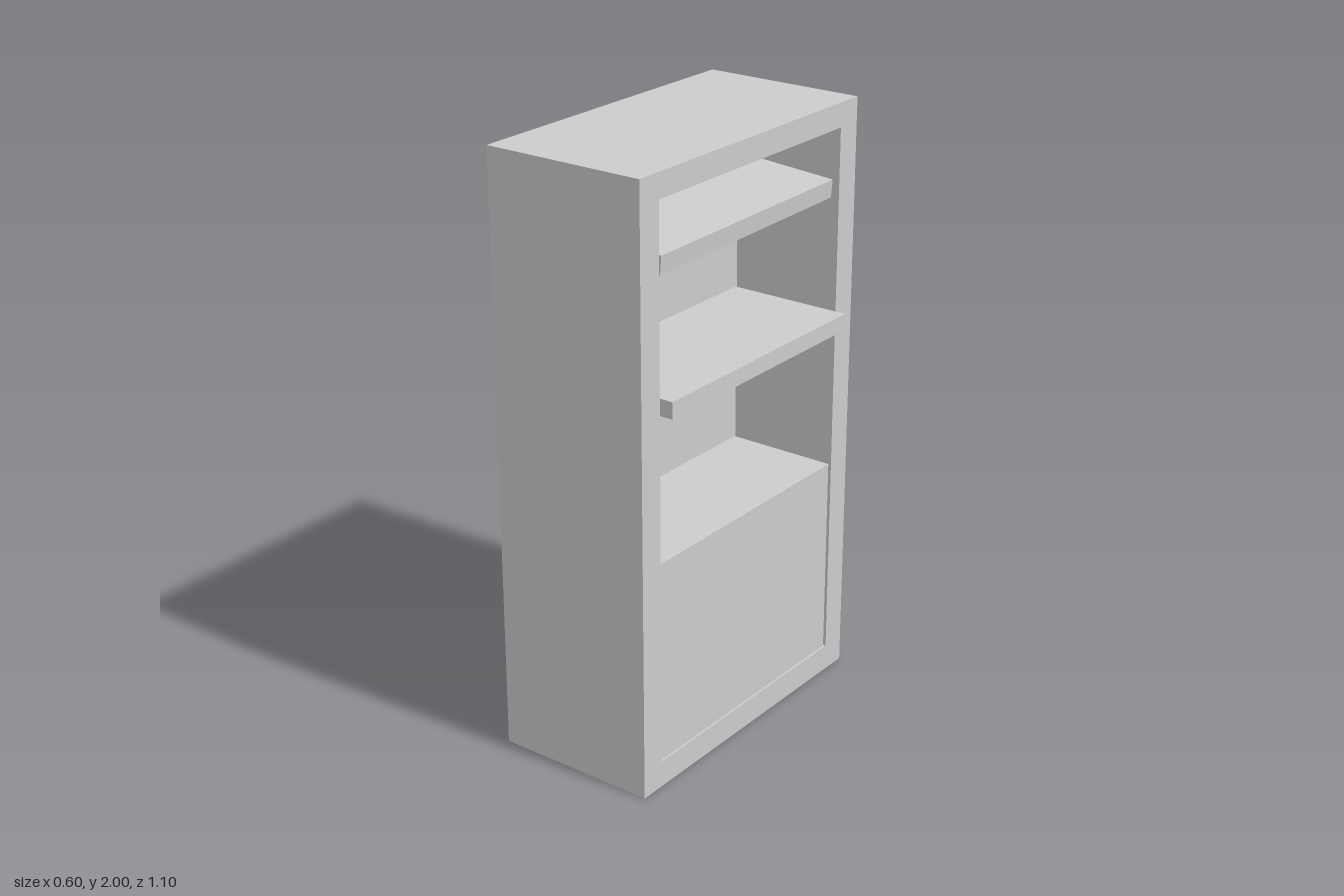
import * as THREE from 'three';

export function createModel() {
  const group = new THREE.Group();
  group.name = 'bookcase';
  const material = new THREE.MeshStandardMaterial({ color: 0xcccccc, flatShading: true });

  function add(name, geometry) {
    const mesh = new THREE.Mesh(geometry, material);
    mesh.name = name;
    group.add(mesh);
    return mesh;
  }

  // Box given by its limits on each axis
  function addBox(name, [x0, x1], [y0, y1], [z0, z1]) {
    const mesh = add(name, new THREE.BoxGeometry(x1 - x0, y1 - y0, z1 - z0));
    mesh.position.set((x0 + x1) / 2, (y0 + y1) / 2, (z0 + z1) / 2);
    return mesh;
  }

  function rectangle(path, x0, x1, y0, y1) {
    return path.moveTo(x0, y0).lineTo(x1, y0).lineTo(x1, y1).lineTo(x0, y1).closePath();
  }

  const innerBack = -0.13;

  // Carcass: a rectangular frame, open towards +x, closed by a thick back
  const outline = rectangle(new THREE.Shape(), -0.55, 0.55, 0, 2);
  outline.holes.push(rectangle(new THREE.Path(), -0.463, 0.46, 0.09, 1.92));
  const frame = new THREE.ExtrudeGeometry(outline, { depth: 0.26 - innerBack, bevelEnabled: false });
  frame.rotateY(Math.PI / 2);
  frame.translate(innerBack, 0, 0);
  add('frame', frame);
  addBox('backPanel', [-0.3, innerBack], [0, 2], [-0.55, 0.55]);

  // Closed lower compartment and projecting middle shelf
  addBox('lowerCabinet', [innerBack, 0.253], [0.09, 0.775], [-0.455, 0.457]);
  addBox('middleShelf', [innerBack, 0.3], [1.26, 1.315], [-0.455, 0.455]);

  // Upper shelf, tipped forward and slightly skewed
  const upperShelf = addBox('upperShelf', [-0.13, 0.245], [1.705, 1.765], [-0.452, 0.452]);
  upperShelf.rotation.set(0, 0.02, -0.08);

  return group;
}
